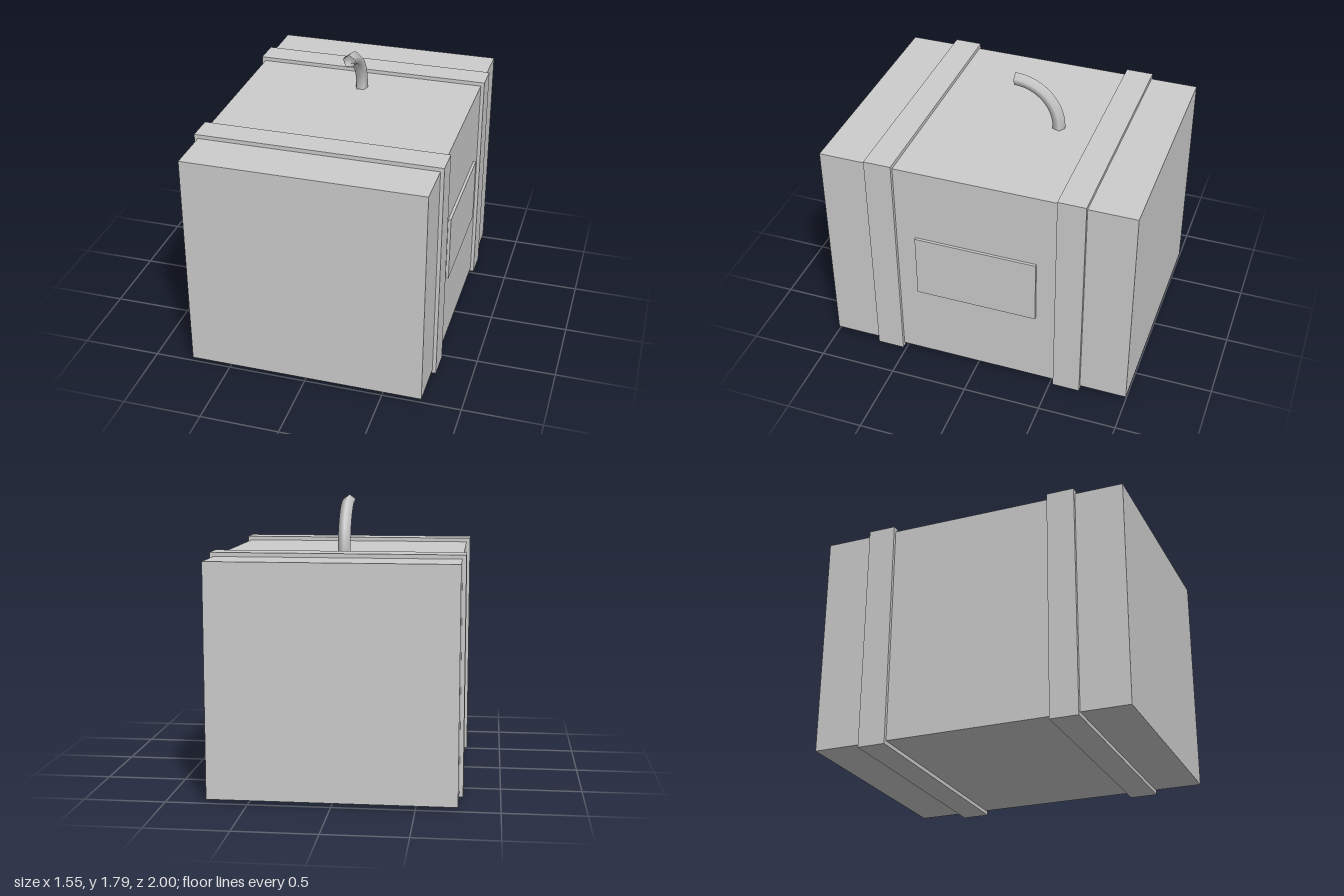
import * as THREE from 'three';

export function createModel() {
  const group = new THREE.Group();
  const grey = new THREE.MeshStandardMaterial({ color: 0xcccccc, side: THREE.DoubleSide });
  grey.name = 'light grey';

  function add(name, geometry, x, y, z) {
    const mesh = new THREE.Mesh(geometry, grey);
    mesh.name = name;
    mesh.position.set(x, y, z);
    group.add(mesh);
  }

  // Crate body, raised slightly by the straps
  add('body', new THREE.BoxGeometry(1.5, 1.425, 2), 0, 0.7375, 0);

  // Two straps wrapped around the body
  for (const side of [1, -1]) {
    add(side > 0 ? 'frontStrap' : 'backStrap',
      new THREE.BoxGeometry(1.546, 1.475, 0.176), 0, 0.7375, side * 0.609);
  }

  // Raised label plate on the left side
  add('labelPlate', new THREE.BoxGeometry(0.025, 0.43, 0.788), 0.755, 0.74, 0);

  // Five-sided, open-ended curved handle rising from the lid to the centre
  const sink = 0.06;
  const arc = new THREE.TorusGeometry(0.288, 0.042, 5, 16, Math.PI / 2 + sink);
  arc.rotateZ(-sink);
  arc.rotateY(Math.PI / 2);
  add('handle', arc, 0, 1.465, 0);

  return group;
}
